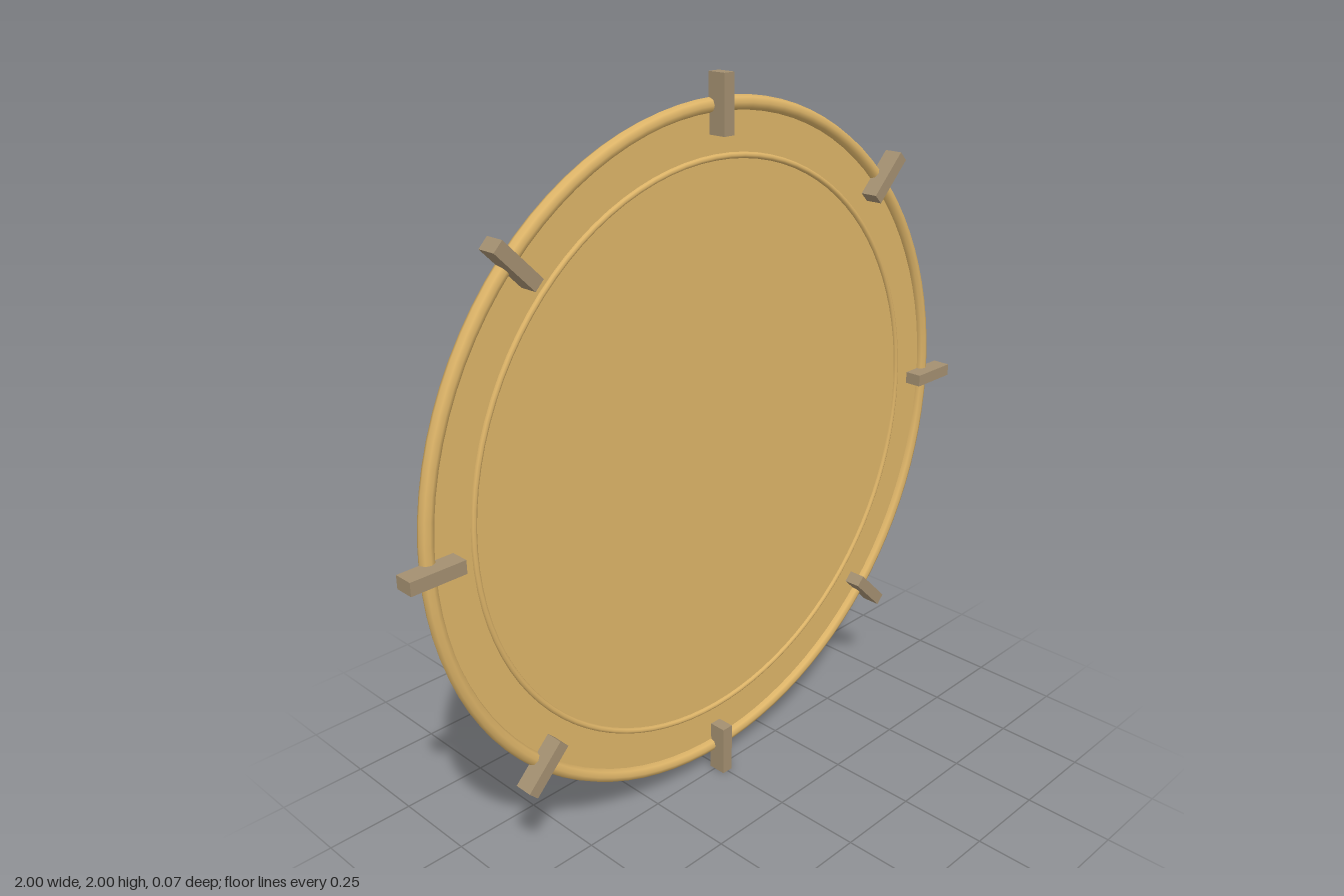
import * as THREE from 'three';

export function createModel() {
  const model = new THREE.Group();
  const gold = new THREE.MeshStandardMaterial({ color: 0xddb468 });
  const brown = new THREE.MeshStandardMaterial({ color: 0xa38f70 });

  // everything is laid out around the disc centre
  const wheel = new THREE.Group();
  wheel.name = 'disc';
  wheel.position.y = 1;
  model.add(wheel);

  const add = (name, geometry, material, z) => {
    const mesh = new THREE.Mesh(geometry, material);
    mesh.name = name;
    mesh.position.z = z;
    wheel.add(mesh);
    return mesh;
  };

  // flat plate, flush with the back of the rim
  const plate = new THREE.CylinderGeometry(0.922, 0.922, 0.02, 96).rotateX(Math.PI / 2);
  add('plate', plate, gold, -0.025);

  // rounded outer rim and thin raised inner ring
  add('rim', new THREE.TorusGeometry(0.921, 0.019, 8, 96), gold, -0.016);
  add('innerRing', new THREE.TorusGeometry(0.792, 0.008, 8, 96), gold, -0.015);

  // eight radial clips gripping the rim
  const clip = new THREE.BoxGeometry(0.15, 0.035, 0.053);
  for (let i = 0; i < 8; i++) {
    const a = (i * Math.PI) / 4;
    const mesh = add('rimClip' + (i + 1), clip, brown, 0.0085);
    mesh.position.x = Math.cos(a) * 0.925;
    mesh.position.y = Math.sin(a) * 0.925;
    mesh.rotation.z = a;
  }
  return model;
}
